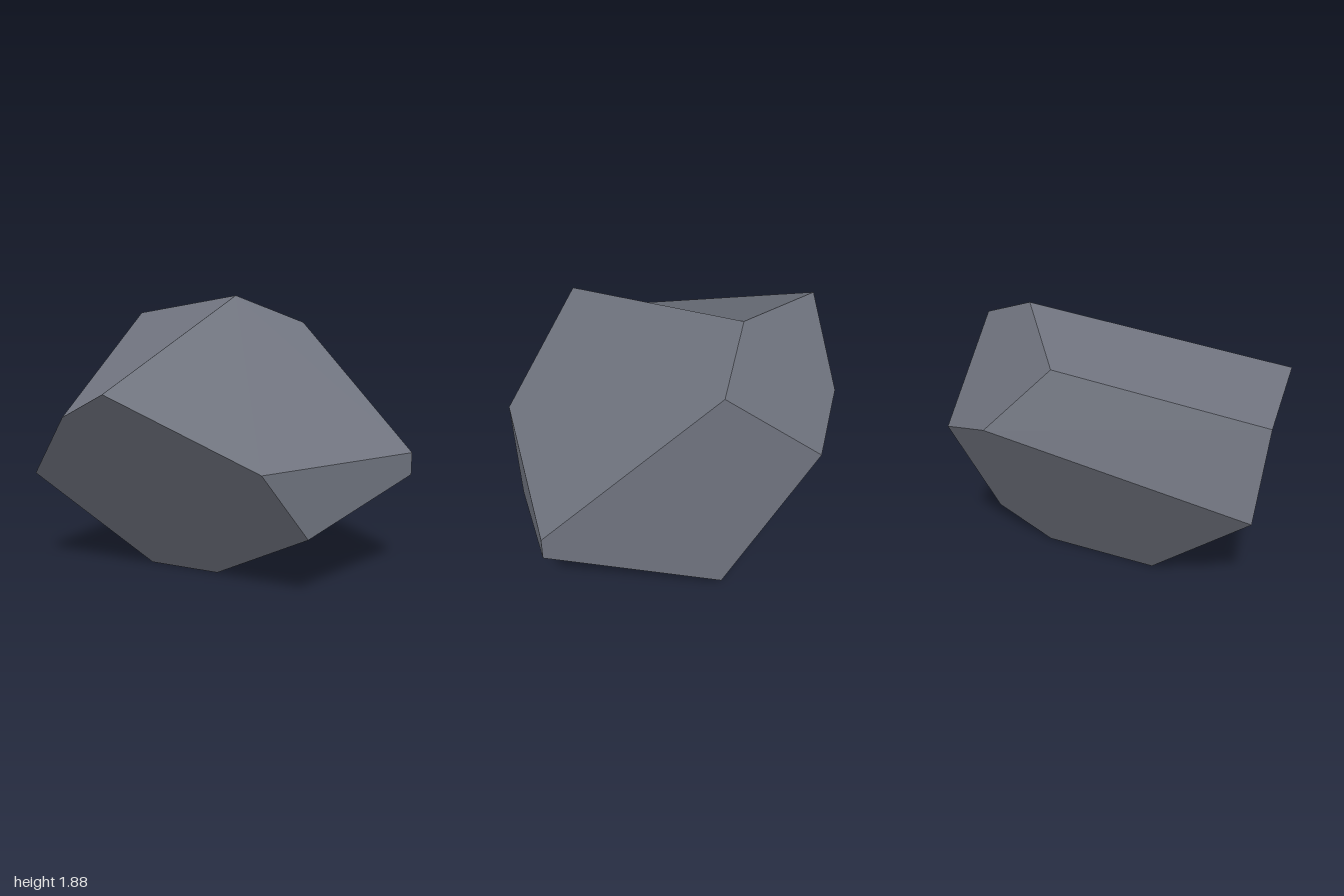
import * as THREE from 'three';

// Corner points of the rock
const P = {
  A: [-1, 1.74, -0.14], B: [-0.36, 1.88, -0.56], C: [0.38, 1.355, 1], D: [-0.16, 1.145, 0.99],
  E: [1, 0.89, 0.3], F: [1, 0.43, -0.08], G: [0.17, 0, 0], H: [-0.285, 0, 0.24],
  I: [-0.6, 0.7, 0.98], J: [-1, 1.28, -0.6], K: [1, 0.87, -1], L: [1, 0.72, -1],
  M: [-0.145, 0.17, -1], N: [-0.205, 0, -0.57], Q: [-0.75, 1.12, -1], R: [-0.1, 1.68, -1],
};

// Facets as corner loops; each is fanned from its first corner
const FACETS = [
  'DIHGFEC', // front
  'BADC',    // upper front slope
  'DAJI',    // left front
  'ABRQJ',   // top left end
  'BCEKR',   // right slope
  'EFLK',    // right side
  'FGNML',   // lower right
  'GHN',     // base
  'JIHNMQ',  // lower left
  'KLMQR',   // back
];

function facetedGeometry(facets) {
  const centre = new THREE.Vector3(0, 0.9, 0);
  const position = [], normal = [];
  for (const facet of facets) {
    let loop = [...facet].map((k) => new THREE.Vector3(...P[k]));
    // One average normal per facet keeps each one evenly flat
    const n = new THREE.Vector3(), mid = new THREE.Vector3();
    loop.forEach((p, i) => {
      n.add(p.clone().cross(loop[(i + 1) % loop.length]));
      mid.addScaledVector(p, 1 / loop.length);
    });
    n.normalize();
    // Turn loops that wind inward
    if (n.dot(mid.sub(centre)) < 0) {
      n.negate();
      loop = [loop[0], ...loop.slice(1).reverse()];
    }
    for (let i = 1; i < loop.length - 1; i++) {
      for (const p of [loop[0], loop[i], loop[i + 1]]) {
        position.push(p.x, p.y, p.z);
        normal.push(n.x, n.y, n.z);
      }
    }
  }
  const g = new THREE.BufferGeometry();
  g.setAttribute('position', new THREE.Float32BufferAttribute(position, 3));
  g.setAttribute('normal', new THREE.Float32BufferAttribute(normal, 3));
  return g;
}

export function createModel() {
  const stone = new THREE.MeshStandardMaterial({ color: 0x70747f });
  stone.name = 'slate grey stone';
  const rock = new THREE.Mesh(facetedGeometry(FACETS), stone);
  rock.name = 'rock';
  const group = new THREE.Group();
  group.name = 'facetedRock';
  group.add(rock);
  return group;
}
